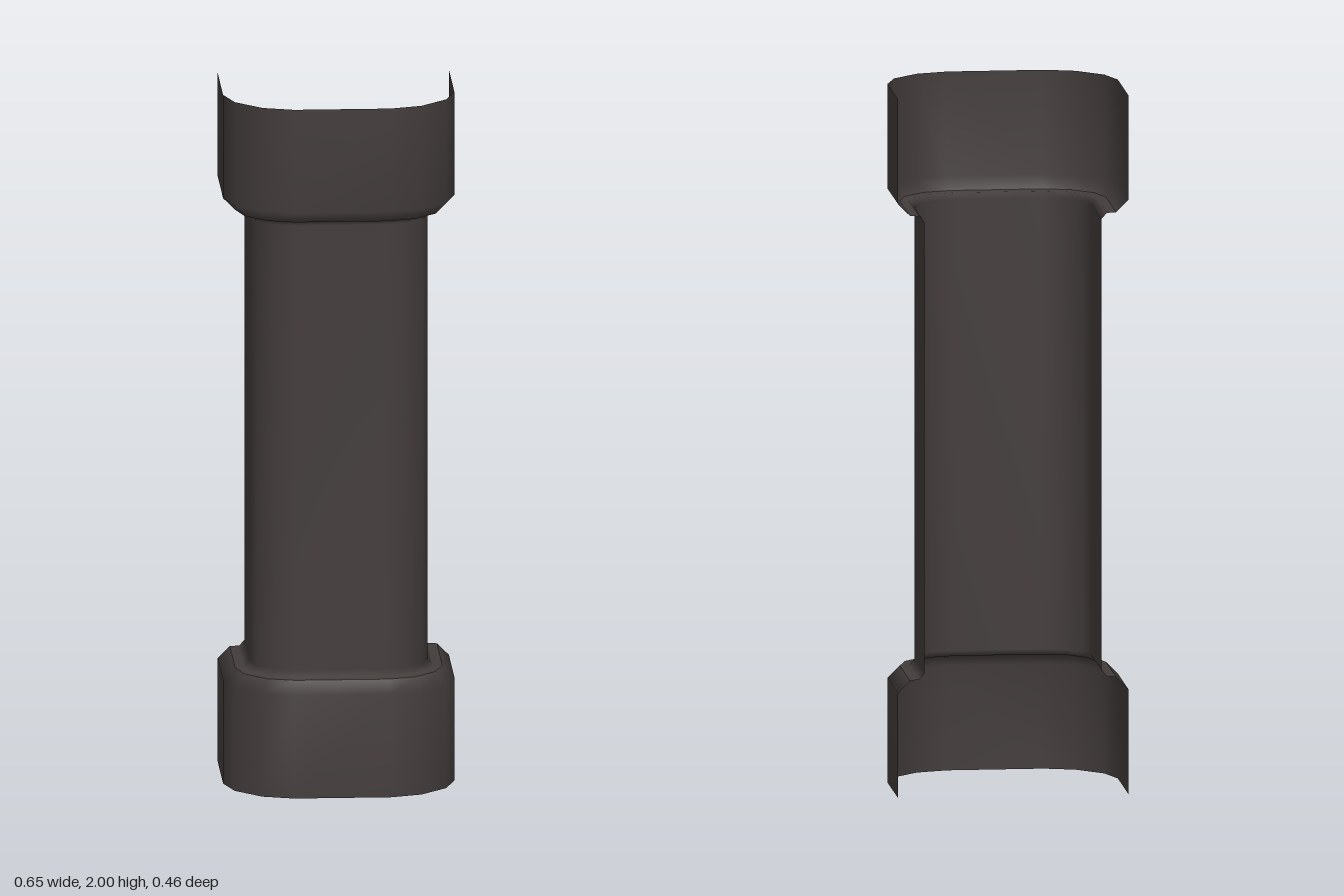
import * as THREE from 'three';

// Half of the U-shaped section, from the open back edge to the front: wide and narrow versions
const wide = [[0.327, -0.232], [0.327, 0.037], [0.299, 0.127], [0.225, 0.201], [0.137, 0.229]];
const narrow = [[0.251, -0.223], [0.251, 0.028], [0.235, 0.091], [0.189, 0.137], [0.125, 0.154]];

// Section blended from wide (0) to narrow (1), mirrored to run from left to right
function section(t) {
  const half = wide.map(([x, z], i) => [
    THREE.MathUtils.lerp(x, narrow[i][0], t),
    THREE.MathUtils.lerp(z, narrow[i][1], t),
  ]);
  return [...half, ...half.slice().reverse().map(([x, z]) => [-x, z])];
}

// Smooth open shell through rings of [height, blend], listed bottom to top
function shell(name, rings, material) {
  const positions = [];
  const index = [];
  const n = wide.length * 2;
  for (const [y, t] of rings) {
    for (const [x, z] of section(t)) positions.push(x, y, z);
  }
  for (let r = 0; r < rings.length - 1; r++) {
    for (let i = 0; i < n - 1; i++) {
      const a = r * n + i;
      const b = a + n;
      index.push(a, b, a + 1, a + 1, b, b + 1);
    }
  }
  const geometry = new THREE.BufferGeometry();
  geometry.setAttribute('position', new THREE.Float32BufferAttribute(positions, 3));
  geometry.setIndex(index);
  geometry.computeVertexNormals();
  const mesh = new THREE.Mesh(geometry, material);
  mesh.name = name;
  return mesh;
}

// The same rings turned upside down for the upper end
const flip = (rings) => rings.map(([y, t]) => [2 - y, t]).reverse();

export function createModel() {
  const group = new THREE.Group();
  group.name = 'columnCladding';
  const darkBrown = new THREE.MeshStandardMaterial({ color: 0x433d3c, side: THREE.DoubleSide });
  darkBrown.name = 'darkBrown';

  // Collars with a bevelled rim
  const collar = [[0, 0], [0.3, 0], [0.335, 0.45]];
  group.add(shell('bottomCollar', collar, darkBrown));
  group.add(shell('topCollar', flip(collar), darkBrown));

  // Shaft with a small ledge and fillet at each end
  const foot = [[0.335, 0.45], [0.337, 0.8], [0.355, 1]];
  group.add(shell('shaft', [...foot, ...flip(foot)], darkBrown));

  return group;
}
